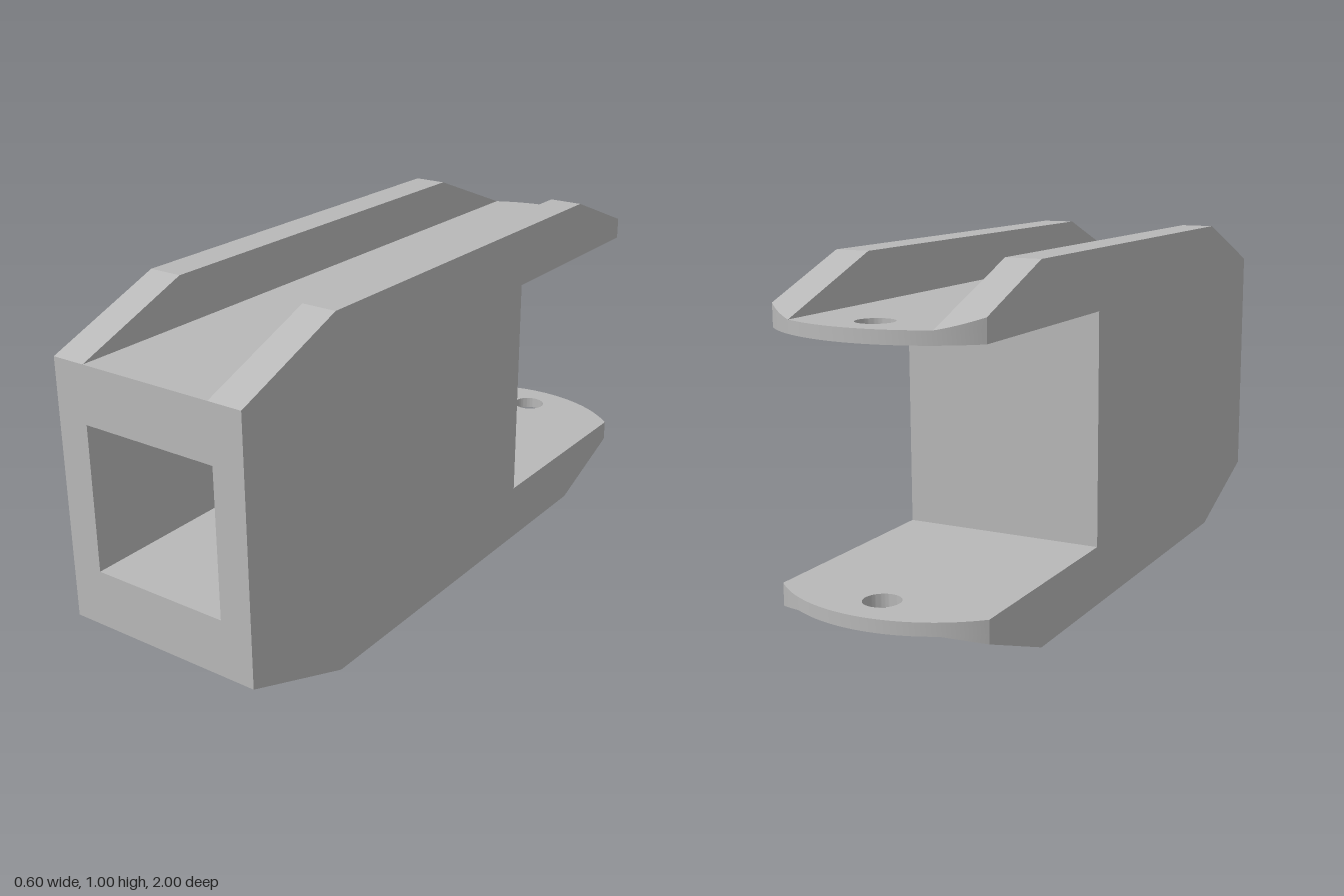
import * as THREE from 'three';
import { toCreasedNormals } from 'three/addons/utils/BufferGeometryUtils.js';

const W = 0.3, INNER = 0.2, DECK = 0.865, PRONG = 0.83, NOTCH_Z = -0.25, POCKET_Z = -0.15;
const ARC_R = 0.435, ARC_Z = -0.565;
const SLOPE = (1 - DECK) / 0.35;

const arcEnd = (x) => ARC_Z - Math.sqrt(ARC_R * ARC_R - x * x);
const rampHeight = (z) => Math.max(DECK, 1 + (z + 0.6) * SLOPE);

function rectangle(Type, x, y0, y1) {
  return new Type([
    new THREE.Vector2(-x, y0), new THREE.Vector2(x, y0),
    new THREE.Vector2(x, y1), new THREE.Vector2(-x, y1),
  ]);
}

// Box body with a square pocket open at the front
function bodyGeometry() {
  const shape = rectangle(THREE.Shape, W, 1 - DECK, DECK);
  shape.holes.push(rectangle(THREE.Path, 0.205, 0.295, 0.705));
  const geo = new THREE.ExtrudeGeometry(shape, { depth: 1 - POCKET_Z, bevelEnabled: false });
  return geo.translate(0, 0, POCKET_Z);
}

// Round-ended plate with a pin hole, reaching back from the body
function prongGeometry() {
  const a = Math.acos(W / ARC_R);
  const shape = new THREE.Shape();
  shape.moveTo(-W, -NOTCH_Z);
  shape.lineTo(W, -NOTCH_Z);
  shape.absarc(0, -ARC_Z, ARC_R, a, Math.PI - a, false);
  shape.closePath();
  shape.holes.push(new THREE.Path().absarc(0, 0.88, 0.05, 0, Math.PI * 2, true));
  const geo = new THREE.ExtrudeGeometry(shape, { depth: DECK - PRONG, bevelEnabled: false, curveSegments: 32 });
  geo.rotateX(-Math.PI / 2).translate(0, PRONG, 0);
  return toCreasedNormals(geo, 0.6);
}

// Raised rail with ramped ends; its back end is trimmed to the prong's arc
function railGeometry(xStart) {
  const end = arcEnd(W);
  const shape = new THREE.Shape([
    new THREE.Vector2(-1, DECK),
    new THREE.Vector2(-end, DECK),
    new THREE.Vector2(-end, rampHeight(end)),
    new THREE.Vector2(0.6, 1),
    new THREE.Vector2(-0.65, 1),
  ]);
  const geo = new THREE.ExtrudeGeometry(shape, { depth: W - INNER, steps: 8, bevelEnabled: false });
  geo.rotateY(Math.PI / 2).translate(xStart, 0, 0);
  const p = geo.attributes.position;
  for (let i = 0; i < p.count; i++) {
    if (p.getZ(i) > -0.7) continue;
    const z = arcEnd(p.getX(i));
    if (p.getY(i) > DECK + 0.001) p.setY(i, rampHeight(z));
    p.setZ(i, z);
  }
  geo.computeVertexNormals();
  return toCreasedNormals(geo, 0.3);
}

export function createModel() {
  const grey = new THREE.MeshStandardMaterial({ color: 0xb8b8b8 });
  grey.name = 'grey';
  const model = new THREE.Group();
  model.name = 'clevisBracket';

  const add = (parent, name, geo) => {
    const mesh = new THREE.Mesh(geo, grey);
    mesh.name = name;
    parent.add(mesh);
    return mesh;
  };

  add(model, 'body', bodyGeometry());

  // Solid wall closing the pocket and forming the back of the notch
  const wall = new THREE.BoxGeometry(W * 2, DECK * 2 - 1, POCKET_Z - NOTCH_Z);
  add(model, 'backWall', wall).position.set(0, 0.5, (POCKET_Z + NOTCH_Z) / 2);

  // Prong and pair of rails, repeated upside down below
  const prong = prongGeometry(), leftRail = railGeometry(INNER), rightRail = railGeometry(-W);
  for (const side of ['upper', 'lower']) {
    const half = new THREE.Group();
    half.name = side + 'Half';
    add(half, side + 'Prong', prong);
    add(half, side + 'RailA', leftRail);
    add(half, side + 'RailB', rightRail);
    if (side === 'lower') {
      half.rotation.z = Math.PI;
      half.position.y = 1;
    }
    model.add(half);
  }
  return model;
}
